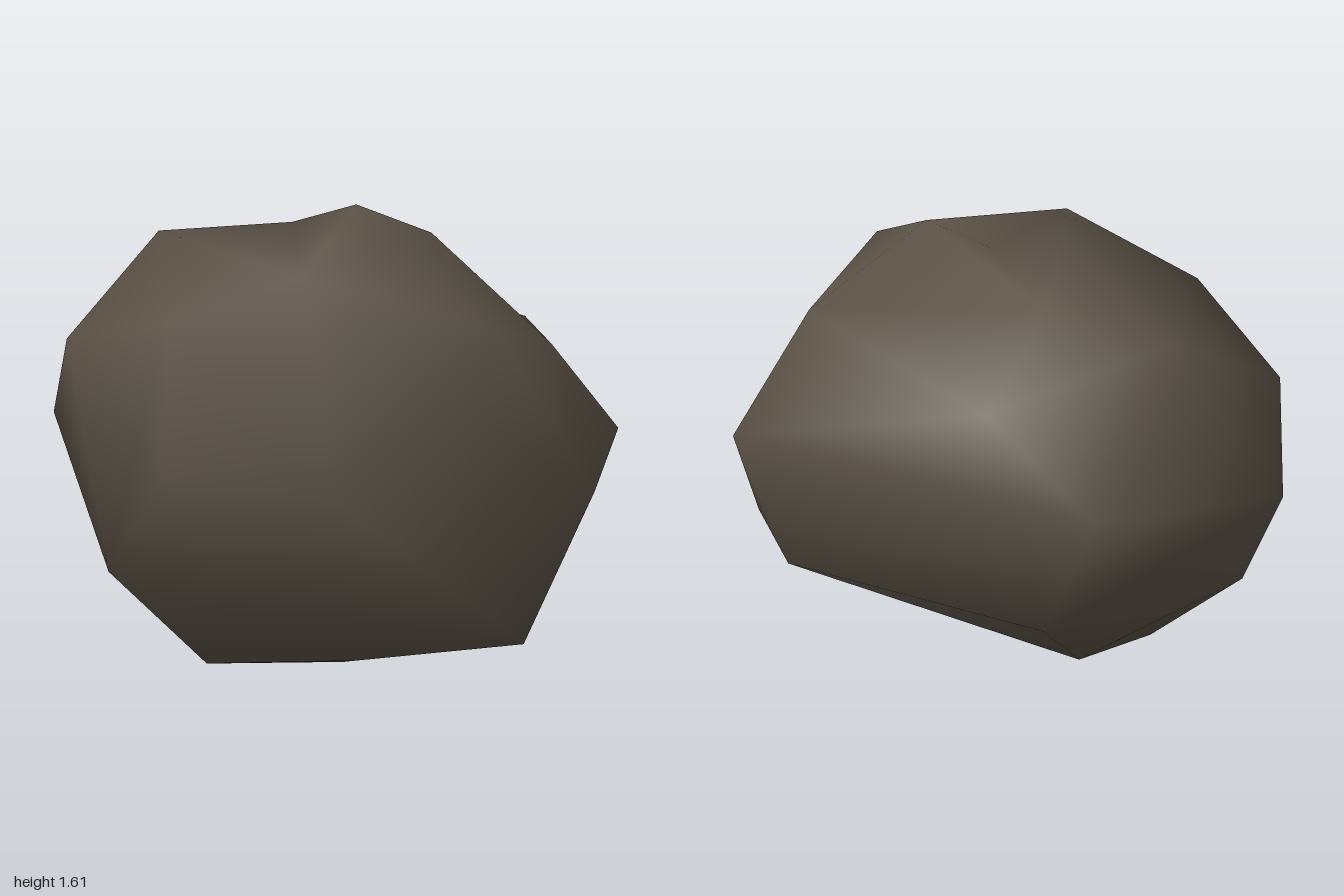
import * as THREE from 'three';
import { mergeVertices } from 'three/addons/utils/BufferGeometryUtils.js';
import { ConvexGeometry } from 'three/addons/geometries/ConvexGeometry.js';

// Corners that border a dent
const peak = [-0.05, 1.605, -0.16];
const shoulder = [0.34, 1.575, -0.12];
const saddle = [-0.38, 1.48, -0.19];
const leftBrow = [-0.81, 1.42, 0.04];
const backBrow = [-0.51, 1.22, -0.59];
const ledge = [0.37, 1.185, -0.59];
const cheek = [-0.78, 1.13, 0.57];
const nose = [-0.11, 0.78, 0.815];
const tail = [0.29, 0.46, -0.82];
const foot = [0.11, 0, 0.09];
const heel = [0.76, 0.13, -0.14];

// Corner points of the boulder, grouped by region
const crown = [peak, shoulder, saddle, leftBrow, backBrow, ledge, [0.22, 1.5, 0.44], [0.81, 1.33, 0.06]];
const front = [
  cheek, nose, [-0.21, 1.3, 0.68], [0.645, 0.8, 0.74], [-0.6, 0.3, 0.55], [0.17, 0.345, 0.73],
];
const sides = [
  [0.915, 1.05, 0.28], [1, 0.71, -0.25], [0.7, 1.18, -0.36],
  [-1, 0.79, 0.39], [-0.965, 0.91, -0.47], [-0.72, 0.43, -0.5],
];
const back = [tail, [0.69, 0.8, -0.73], [0.5, 0.59, -0.775]];
const base = [
  foot, heel, [-0.24, 0, 0.43], [0.31, 0.07, 0.26], [-0.39, 0.085, -0.04], [0.11, 0.09, -0.12],
];

// Edges turned inwards, in order: the notch behind the crown, then the back, front and base
const folds = [
  [peak, backBrow], [peak, leftBrow], [peak, ledge], [shoulder, ledge], [saddle, ledge],
  [backBrow, tail], [cheek, nose], [foot, heel],
];

// Turn the edge a-b so that it joins the two corners opposite it instead
function flipEdge(faces, a, b) {
  const pair = faces.filter((f) => f.includes(a) && f.includes(b));
  if (pair.length !== 2) return;
  const [c, d] = pair.map((f) => f.find((i) => i !== a && i !== b));
  pair[0][pair[0].indexOf(b)] = d;
  pair[1][pair[1].indexOf(a)] = c;
}

function rockGeometry(corners) {
  const hull = new ConvexGeometry(corners.map((p) => new THREE.Vector3(...p)));
  hull.deleteAttribute('normal');
  // Shared corners give the soft, smooth shading
  const geometry = mergeVertices(hull);
  const pos = geometry.attributes.position;
  const find = (p) => {
    const target = new THREE.Vector3(...p);
    const v = new THREE.Vector3();
    for (let i = 0; i < pos.count; i++) {
      if (v.fromBufferAttribute(pos, i).distanceTo(target) < 1e-4) return i;
    }
    return -1;
  };

  // Fold the dents into the convex block
  const faces = [];
  const index = geometry.index.array;
  for (let i = 0; i < index.length; i += 3) faces.push([...index.slice(i, i + 3)]);
  folds.forEach(([a, b]) => flipEdge(faces, find(a), find(b)));
  geometry.setIndex(faces.flat());
  geometry.computeVertexNormals();
  return geometry;
}

export function createModel() {
  const stone = new THREE.MeshStandardMaterial({ color: 0x5a5145 });
  stone.name = 'brown stone';
  const boulder = new THREE.Mesh(rockGeometry([...crown, ...front, ...sides, ...back, ...base]), stone);
  boulder.name = 'boulder';
  const model = new THREE.Group();
  model.name = 'rock';
  model.add(boulder);
  return model;
}
